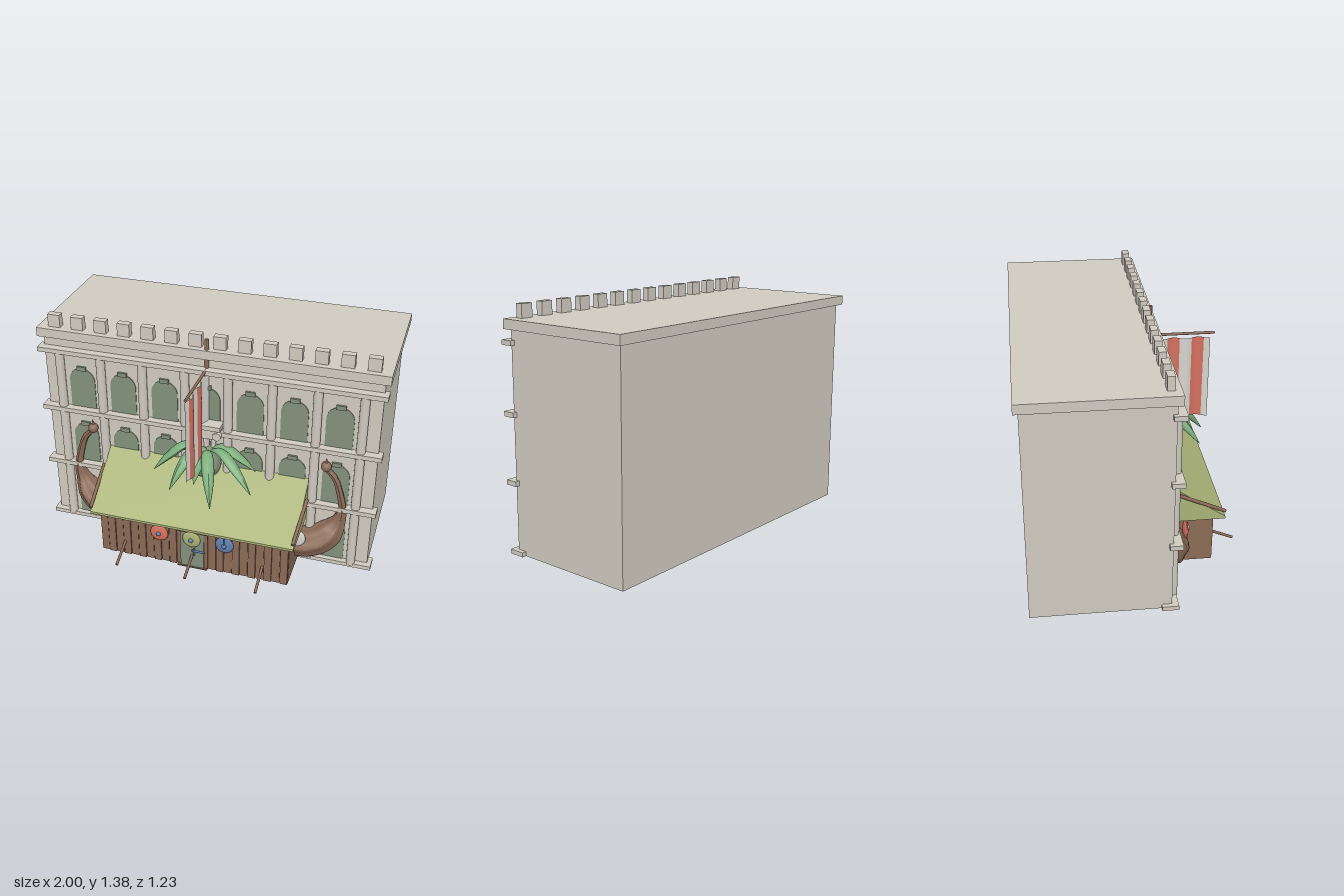
import * as THREE from 'three';

const mat = (name, color, extra = {}) => Object.assign(new THREE.MeshStandardMaterial({ color, ...extra }), { name });

export function createModel() {
  const stone = mat('stone', 0xcfcabf);
  const glass = mat('window green', 0x82917a);
  const wood = mat('wood', 0x8a6a56);
  const olive = mat('awning olive', 0xa9b276);
  const red = mat('red', 0xd4705f, { side: THREE.DoubleSide });
  const pale = mat('pale cloth', 0xd6d4cd, { side: THREE.DoubleSide });
  const leafGreen = mat('leaf green', 0x7db07c);
  const blue = mat('blue', 0x5f80aa);

  const root = new THREE.Group();
  const add = (name, geo, material, x = 0, y = 0, z = 0) => {
    const m = new THREE.Mesh(geo, material);
    m.name = name;
    m.position.set(x, y, z);
    root.add(m);
    return m;
  };
  // Box given by its min and max on each axis
  const box = (name, material, x0, x1, y0, y1, z0, z1) =>
    add(name, new THREE.BoxGeometry(x1 - x0, y1 - y0, z1 - z0), material, (x0 + x1) / 2, (y0 + y1) / 2, (z0 + z1) / 2);
  // Round bar between two points
  const rod = (name, material, a, b, r, sides = 10) => {
    const p = new THREE.Vector3(...a), q = new THREE.Vector3(...b);
    const d = q.clone().sub(p);
    const m = add(name, new THREE.CylinderGeometry(r, r, d.length(), sides), material);
    m.position.copy(p).add(q).multiplyScalar(0.5);
    m.quaternion.setFromUnitVectors(new THREE.Vector3(0, 1, 0), d.normalize());
    return m;
  };
  // Tube along points whose radius follows radius(t); squash flattens it in y
  const taper = (name, material, points, radius, sides = 12, squash = 1) => {
    const curve = new THREE.CatmullRomCurve3(points.map(p => new THREE.Vector3(...p)));
    const n = 24, geo = new THREE.TubeGeometry(curve, n, 1, sides);
    const pos = geo.attributes.position, v = new THREE.Vector3();
    for (let i = 0; i <= n; i++) {
      const c = curve.getPointAt(i / n);
      for (let j = 0; j <= sides; j++) {
        const k = i * (sides + 1) + j;
        v.fromBufferAttribute(pos, k).sub(c).multiplyScalar(radius(i / n, j / sides));
        v.y *= squash;
        v.add(c);
        pos.setXYZ(k, v.x, v.y, v.z);
      }
    }
    geo.computeVertexNormals();
    return add(name, geo, material);
  };

  // Main block, roof slab and battlements
  box('building', stone, -0.97, 0.97, 0.035, 1.255, -0.585, 0.17);
  box('roofSlab', stone, -1, 1, 1.252, 1.305, -0.61, 0.195);
  for (let i = 0; i < 14; i++) {
    const x = -0.904 + i * 0.139;
    box('merlon', stone, x - 0.036, x + 0.036, 1.3, 1.38, 0.12, 0.16);
  }

  // Ledges and columns
  for (const y of [0.42, 0.792, 1.168]) box('ledge', stone, -0.995, 0.995, y, y + 0.027, 0.148, 0.218);
  box('baseLedge', stone, -0.995, 0.995, 0.035, 0.06, 0.115, 0.205);
  for (let i = 0; i < 8; i++)
    add('column', new THREE.CylinderGeometry(0.026, 0.026, 1.12, 16), stone, -0.875 + i * 0.25, 0.61, 0.187);

  // Arched windows, seven to a storey
  for (const [y0, y1] of [[0.06, 0.32], [0.445, 0.705], [0.818, 1.07]]) {
    const s = new THREE.Shape();
    s.moveTo(-0.077, y0);
    s.lineTo(0.077, y0);
    s.lineTo(0.077, y1 - 0.077);
    s.absarc(0, y1 - 0.077, 0.077, 0, Math.PI, false);
    const geo = new THREE.ExtrudeGeometry(s, { depth: 0.007, bevelEnabled: false, curveSegments: 16 });
    for (let i = 0; i < 7; i++) {
      const x = -0.75 + i * 0.25;
      add('window', geo, glass, x, 0, 0.168);
      box('keystone', glass, x - 0.027, x + 0.027, y1 - 0.012, y1 + 0.014, 0.165, 0.182);
    }
  }

  // Flagpole with knob and crossbar
  rod('flagpole', wood, [0, 0.03, 0.172], [0, 1.365, 0.172], 0.012);
  add('poleKnob', new THREE.SphereGeometry(0.03, 16, 12), wood, 0, 0.03, 0.167);
  rod('bannerRod', wood, [0, 1.188, 0.17], [0, 1.188, 0.543], 0.008);

  // Rippled banner, one sheet for each stripe
  const edges = [0.17, 0.205, 0.275, 0.344, 0.414, 0.483, 0.517];
  const bands = [pale, pale, red, pale, red, pale];
  bands.forEach((material, i) => {
    const w = edges[i + 1] - edges[i], mid = (edges[i] + edges[i + 1]) / 2;
    const geo = new THREE.PlaneGeometry(w, 0.5, 8, 1).rotateY(Math.PI / 2);
    const pos = geo.attributes.position;
    for (let k = 0; k < pos.count; k++)
      pos.setX(k, 0.012 * Math.sin((pos.getZ(k) + mid - 0.275) / 0.0693 * Math.PI));
    geo.computeVertexNormals();
    add('bannerStripe', geo, material, 0, 0.911, mid);
  });

  // Bracket capital above the planter
  box('capitalTop', stone, -0.098, 0.098, 0.84, 0.868, 0.165, 0.25);
  box('capitalNeck', stone, -0.075, 0.075, 0.815, 0.842, 0.165, 0.235);
  box('capitalBand', stone, -0.08, 0.08, 0.776, 0.815, 0.165, 0.235);
  for (const s of [-1, 1]) {
    add('scroll', new THREE.CylinderGeometry(0.025, 0.025, 0.075, 16).rotateX(Math.PI / 2), stone, s * 0.075, 0.8, 0.205);
    rod('bracketPost', stone, [s * 0.045, 0.68, 0.2], [s * 0.045, 0.78, 0.2], 0.014);
  }
  rod('bracketPost', stone, [0, 0.68, 0.2], [0, 0.78, 0.2], 0.02);

  // Hanging planter with drooping leaves
  const bowl = [[0, 0.5], [0.045, 0.51], [0.078, 0.545], [0.088, 0.59], [0.078, 0.64], [0.055, 0.68], [0.05, 0.71], [0, 0.71]];
  add('planter', new THREE.LatheGeometry(bowl.map(p => new THREE.Vector2(...p)), 24), glass, 0, 0, 0.195);
  const tips = [[-0.285, 0.55, 0.29], [-0.135, 0.545, 0.455], [0.12, 0.51, 0.515], [0.315, 0.55, 0.38],
    [0.3, 0.6, 0.22], [-0.22, 0.6, 0.21], [-0.01, 0.57, 0.4]];
  for (const [x, y, z] of tips) {
    const at = (f, h) => [x * f, h, 0.2 + (z - 0.2) * f];
    taper('leaf', leafGreen, [at(0.08, 0.69), at(0.35, 0.72), at(0.7, 0.72 - (0.72 - y) * 0.45), [x, y, z]],
      t => 0.002 + 0.034 * Math.sin(Math.PI * Math.pow(t, 0.8)), 8, 0.4);
  }

  // Market hut: open underneath, plank front
  for (const s of [-1, 1]) box('hutSide', wood, s * 0.555 - 0.01, s * 0.555 + 0.01, 0.035, 0.325, 0.17, 0.455);
  box('hutFront', wood, -0.565, 0.565, 0.035, 0.325, 0.447, 0.457);
  box('hutCeiling', wood, -0.56, 0.56, 0.315, 0.325, 0.17, 0.455);
  for (let i = 0; i < 24; i++) {
    const x = -0.542 + i * 0.0471;
    box('plank', wood, x - 0.0215, x + 0.0215, 0.035, 0.322, 0.452, 0.463 + (i % 2) * 0.006);
  }
  box('door', glass, -0.07, 0.07, 0.037, 0.3, 0.465, 0.474);
  box('doorLintel', wood, -0.09, 0.09, 0.29, 0.315, 0.46, 0.485);
  rod('doorBar', blue, [0, 0.16, 0.48], [0.075, 0.16, 0.48], 0.006);
  rod('doorHandle', blue, [0.015, 0.13, 0.48], [0.015, 0.18, 0.48], 0.006);
  box('doorstep', wood, -0.09, 0.09, 0.033, 0.04, 0.44, 0.48);

  // Sloping awning with a closed gable
  const gable = new THREE.Shape([[0.15, 0.325], [0.522, 0.325], [0.522, 0.34], [0.15, 0.594]].map(p => new THREE.Vector2(...p)));
  add('awning', new THREE.ExtrudeGeometry(gable, { depth: 1.2, bevelEnabled: false }).rotateY(-Math.PI / 2), olive, 0.6);
  for (const s of [-1, 1]) rod('awningPole', wood, [s * 0.595, 0.372, 0.522], [s * 0.612, 0.5, 0.26], 0.01);

  // Round shields with bosses
  const shield = (material, bossMaterial, x, y, z, r) => {
    add('shield', new THREE.SphereGeometry(r, 24, 12).scale(1, 1, 0.25), material, x, y, z);
    add('shieldBoss', new THREE.SphereGeometry(0.014, 12, 8), bossMaterial, x, y, z + 0.012);
  };
  shield(red, blue, -0.197, 0.243, 0.475, 0.054);
  shield(olive, blue, 0, 0.243, 0.48, 0.054);
  shield(blue, blue, 0.195, 0.243, 0.475, 0.054);
  rod('shieldHanger', blue, [0.195, 0.225, 0.49], [0.195, 0.325, 0.49], 0.005);
  add('hangerKnob', new THREE.SphereGeometry(0.013, 10, 8), pale, 0.195, 0.325, 0.49);
  shield(red, pale, -0.565, 0.255, 0.305, 0.06);
  shield(pale, blue, 0.565, 0.255, 0.305, 0.06);

  // Sloping stakes in front
  for (const x of [-0.415, 0, 0.415]) rod('stake', wood, [x, 0.128, 0.46], [x, 0.062, 0.615], 0.008);

  // Ridged trunks curling up to lamps on each side
  const radii = [0.078, 0.085, 0.085, 0.075, 0.04, 0.022, 0.019, 0.017, 0.015];
  const trunkRadius = (t, a) => {
    const f = t * (radii.length - 1), i = Math.min(Math.floor(f), radii.length - 2);
    return (radii[i] + (radii[i + 1] - radii[i]) * (f - i)) * (1 + 0.07 * Math.cos(a * Math.PI * 12));
  };
  for (const s of [-1, 1]) {
    const pts = [[0.5, 0.175, 0.235], [0.62, 0.185, 0.228], [0.71, 0.225, 0.21], [0.775, 0.31, 0.19],
      [0.803, 0.42, 0.195], [0.775, 0.56, 0.195], [0.745, 0.635, 0.195], [0.7, 0.68, 0.195]];
    taper('trunk', wood, pts.map(([x, y, z]) => [s * x, y, z]), trunkRadius, 36);
    add('lamp', new THREE.SphereGeometry(0.03, 16, 12), wood, s * 0.695, 0.697, 0.195);
    add('lampTip', new THREE.ConeGeometry(0.012, 0.035, 10), wood, s * 0.695, 0.735, 0.195);
  }
  return root;
}
